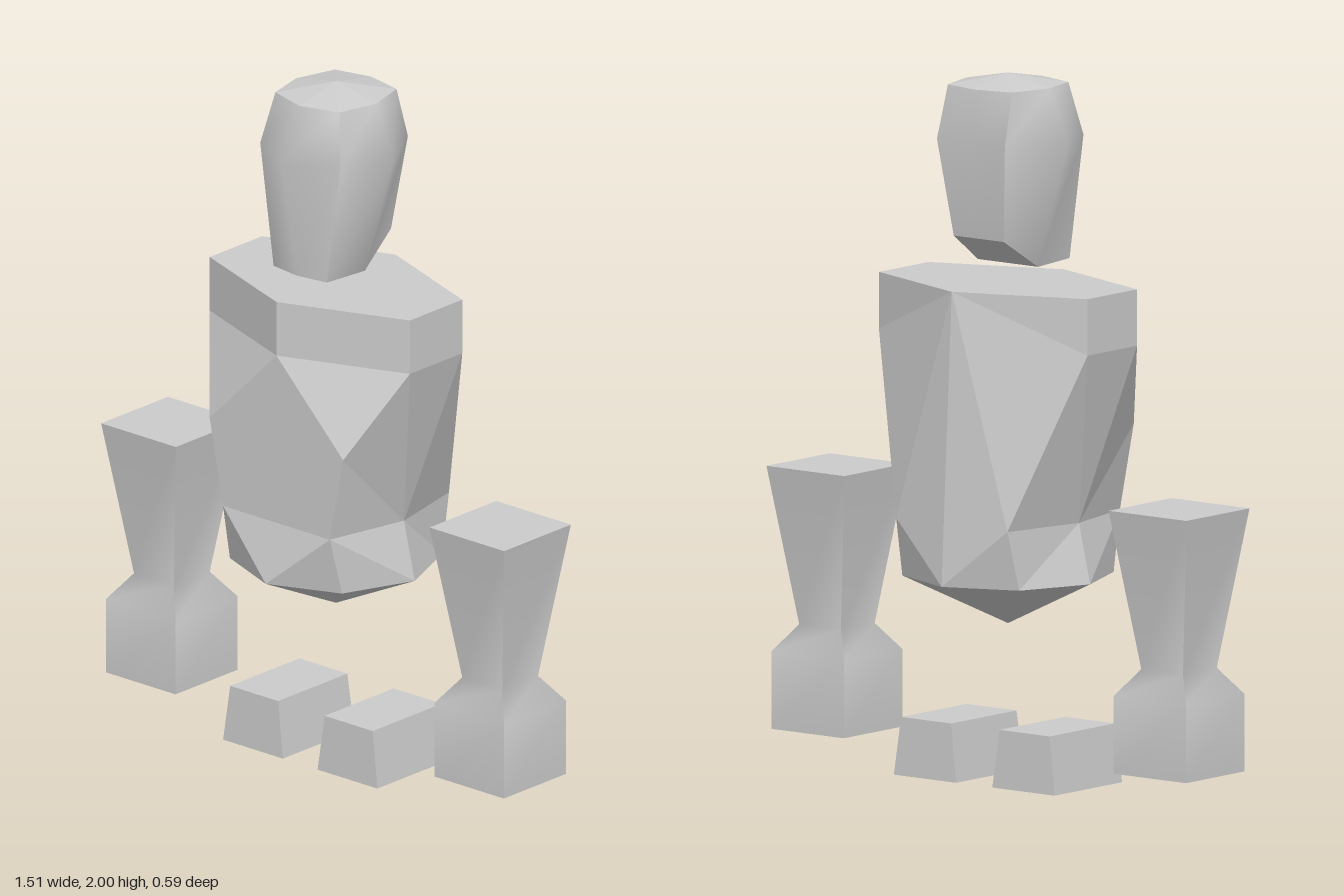
import * as THREE from 'three';
import { mergeGeometries } from 'three/addons/utils/BufferGeometryUtils.js';

const material = new THREE.MeshStandardMaterial({ color: 0xcccccc });

// Grid of points, rows running downwards, columns left to right seen from outside.
function panel(rows) {
  const n = rows[0].length;
  const index = [];
  for (let r = 0; r < rows.length - 1; r++) {
    for (let c = 0; c < n - 1; c++) {
      const a = r * n + c;
      index.push(a, a + n, a + 1, a + 1, a + n, a + n + 1);
    }
  }
  const g = new THREE.BufferGeometry();
  g.setAttribute('position', new THREE.Float32BufferAttribute(rows.flat(2), 3));
  g.setIndex(index);
  g.computeVertexNormals();
  return g.toNonIndexed();
}

// Separate flat triangles.
function facets(triangles) {
  const g = new THREE.BufferGeometry();
  g.setAttribute('position', new THREE.Float32BufferAttribute(triangles.flat(2), 3));
  g.computeVertexNormals();
  return g;
}

// Cap closing a ring that runs counter-clockwise seen from above.
function cap(centre, ring, up) {
  return facets(ring.map((p, i) => {
    const q = ring[(i + 1) % ring.length];
    return up ? [centre, p, q] : [centre, q, p];
  }));
}

// Closed body from rings (top to bottom); sides lists the ring indices of each smooth panel.
function ringBody(rings, sides, top, bottom) {
  return mergeGeometries([
    ...sides.map((ids) => panel(rings.map((ring) => ids.map((i) => ring[i])))),
    cap(top, rings[0], true),
    cap(bottom, rings[rings.length - 1], false),
  ]);
}

// Four-sided column from [y, halfWidth, halfDepth] sections, top to bottom.
function column(sections) {
  const rings = sections.map(([y, w, d]) => [[-w, y, d], [w, y, d], [w, y, -d], [-w, y, -d]]);
  const last = sections[sections.length - 1];
  return ringBody(rings, [[0, 1], [1, 2], [2, 3], [3, 0]], [0, sections[0][0], 0], [0, last[0], 0]);
}

function headGeometry() {
  // Half rings from front centre round the left side to back centre.
  const halves = [
    [[0, 1.97, 0.155], [0.12, 1.97, 0.12], [0.15, 1.97, 0], [0.115, 1.97, -0.125], [0, 1.97, -0.15]],
    [[0, 1.82, 0.23], [0.15, 1.82, 0.15], [0.215, 1.82, 0], [0.122, 1.82, -0.165], [0, 1.82, -0.165]],
    [[0, 1.465, 0.165], [0.1, 1.465, 0.15], [0.108, 1.46, 0], [0.09, 1.545, -0.13], [0, 1.545, -0.13]],
  ];
  const rings = halves.map((h) => [
    ...h, ...h.slice(1, 4).reverse().map(([x, y, z]) => [-x, y, z]),
  ]);
  return ringBody(rings, [[7, 0, 1], [1, 2, 3], [3, 4, 5], [5, 6, 7]], [0, 2, 0], [0, 1.46, 0]);
}

function torsoGeometry() {
  const P = {
    // shoulders
    topF: [0, 1.41, 0.25], topA: [0.375, 1.41, 0.11], topB: [0.375, 1.41, -0.11], topK: [0, 1.41, -0.25],
    topM: [0, 1.41, 0],
    // chest
    chestF: [0, 1.25, 0.25], chestA: [0.375, 1.25, 0.11], chestB: [0.375, 1.25, -0.11],
    rib: [0.25, 1, 0.25],
    // waist
    waistM: [0, 0.75, 0.25], waistF: [0.2, 0.75, 0.25], waistS: [0.255, 0.75, 0], waistK: [0.2, 0.75, -0.25],
    // hips
    hipF: [0, 0.58, 0.295], hipA: [0.21, 0.58, 0.21], hipS: [0.295, 0.58, 0],
    hipB: [0.21, 0.58, -0.21], hipK: [0, 0.58, -0.295], tip: [0, 0.44, 0],
  };
  const half = [
    'topM topF topA', 'topM topA topB', 'topM topB topK',
    'topF chestF chestA', 'topF chestA topA', 'topA chestA chestB', 'topA chestB topB',
    'chestF rib chestA', 'chestF waistM rib', 'waistM waistF rib',
    'chestA rib waistS', 'rib waistF waistS', 'chestA waistS chestB', 'chestB waistS waistK',
    'waistM hipF waistF', 'waistF hipF hipA', 'waistF hipA hipS', 'waistF hipS waistS',
    'waistS hipS hipB', 'waistS hipB waistK',
    'topB chestB topK', 'chestB waistK topK', 'topK waistK hipK', 'waistK hipB hipK',
    'tip hipA hipF', 'tip hipS hipA', 'tip hipB hipS', 'tip hipK hipB',
  ].map((names) => names.split(' ').map((n) => P[n]));
  const mirrored = half.map(([a, b, c]) => [a, c, b].map(([x, y, z]) => [-x, y, z]));
  return facets([...half, ...mirrored]);
}

export function createModel() {
  const group = new THREE.Group();
  const add = (name, geometry, x = 0) => {
    const mesh = new THREE.Mesh(geometry, material);
    mesh.name = name;
    mesh.position.x = x;
    group.add(mesh);
  };

  add('head', headGeometry());
  add('torso', torsoGeometry());

  // Floating forearms and feet, one pair each side
  const forearm = column([[0.825, 0.14, 0.14], [0.375, 0.075, 0.075], [0.3, 0.13, 0.13], [0.08, 0.13, 0.13]]);
  const foot = column([[0.165, 0.09, 0.145], [0, 0.112, 0.15]]);
  for (const [side, s] of [['left', 1], ['right', -1]]) {
    add(side + 'Forearm', forearm, s * 0.615);
    add(side + 'Foot', foot, s * 0.177);
  }
  return group;
}
